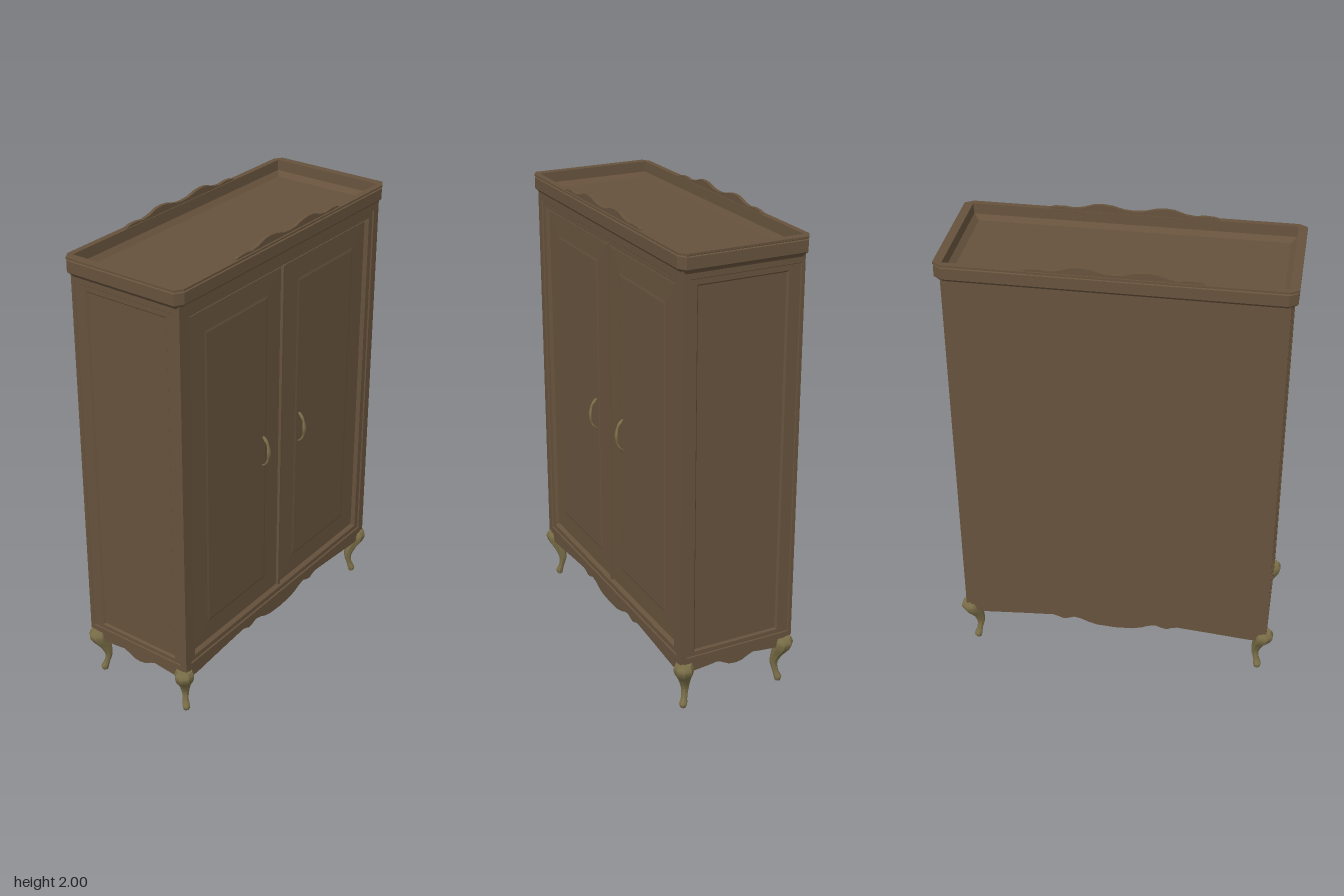
import * as THREE from 'three';

const wood = new THREE.MeshStandardMaterial({ color: 0x66523c, flatShading: true });
const brass = new THREE.MeshStandardMaterial({ color: 0x7a6e48, flatShading: true });

// Joins cross-sections (rings of [x, y, z], counter-clockwise about +z) and caps both ends
function loft(rings) {
  const pos = [];
  const tri = (a, b, c) => pos.push(...a, ...b, ...c);
  const n = rings[0].length;
  for (let i = 0; i < rings.length - 1; i++) {
    for (let j = 0; j < n; j++) {
      const k = (j + 1) % n;
      const a = rings[i][j], b = rings[i][k], c = rings[i + 1][k], d = rings[i + 1][j];
      tri(a, b, c);
      tri(a, c, d);
    }
  }
  const first = rings[0], last = rings[rings.length - 1];
  for (let j = 1; j < n - 1; j++) {
    tri(first[0], first[j + 1], first[j]);
    tri(last[0], last[j], last[j + 1]);
  }
  const g = new THREE.BufferGeometry();
  g.setAttribute('position', new THREE.Float32BufferAttribute(pos, 3));
  g.computeVertexNormals();
  return g;
}

// Rectangle with chamfered corners
const rect = (x0, x1, y0, y1, z, cx = 0, cy = 0) => [
  [x1, y0 + cy, z], [x1, y1 - cy, z], [x1 - cx, y1, z], [x0 + cx, y1, z],
  [x0, y1 - cy, z], [x0, y0 + cy, z], [x0 + cx, y0, z], [x1 - cx, y0, z],
];

const oval = (x, y, z, rx, ry, sides = 8) => Array.from({ length: sides }, (_, i) => {
  const a = ((i + 0.5) / sides) * Math.PI * 2;
  return [x + rx * Math.cos(a), y + ry * Math.sin(a), z];
});

// Board whose wavy edge is given for one half and mirrored to the other
function wavyBoard(half, flatY, thickness) {
  const pts = [...half.map(([x, y]) => [-x, y]).reverse(), ...half.slice(1)];
  const end = half[half.length - 1][0];
  const shape = new THREE.Shape([[-end, flatY], ...pts, [end, flatY]].map(p => new THREE.Vector2(...p)));
  return new THREE.ExtrudeGeometry(shape, { depth: thickness, bevelEnabled: false });
}

// Resamples a few key sections into a smooth run
function smooth(keys, count) {
  const at = (i, c) => keys[Math.min(Math.max(i, 0), keys.length - 1)][c];
  return Array.from({ length: count + 1 }, (_, s) => {
    const u = (s / count) * (keys.length - 1);
    const i = Math.min(Math.floor(u), keys.length - 2), t = u - i;
    return keys[0].map((_, c) => {
      const p0 = at(i - 1, c), p1 = at(i, c), p2 = at(i + 1, c), p3 = at(i + 2, c);
      return 0.5 * (2 * p1 + (p2 - p0) * t + (2 * p0 - 5 * p1 + 4 * p2 - p3) * t * t
        + (3 * p1 - p0 - 3 * p2 + p3) * t * t * t);
    });
  });
}

export function createModel() {
  const group = new THREE.Group();
  const add = (name, geometry, material = wood) => {
    const m = new THREE.Mesh(geometry, material);
    m.name = name;
    group.add(m);
    return m;
  };

  // Carcass behind the face panels
  add('carcass', new THREE.BoxGeometry(1.32, 1.665, 0.495)).position.set(0, 1.0625, -0.0175);

  // Front frame stepping in to the door recess
  add('frontFrame', loft([
    [0.68, 0.23, 1.9, 0.23], [0.68, 0.23, 1.9, 0.26], [0.645, 0.255, 1.86, 0.26],
    [0.641, 0.259, 1.856, 0.255], [0.615, 0.28, 1.835, 0.255], [0.603, 0.293, 1.823, 0.238],
  ].map(([x, y0, y1, z]) => rect(-x, x, y0, y1, z))));

  for (const s of [-1, 1]) {
    const side = s < 0 ? 'right' : 'left';

    // Door with a shallow raised field
    add(side + 'Door', loft([[0, 0.234], [0, 0.242], [0.09, 0.243], [0.1, 0.245]].map(([d, z]) => {
      const a = 0.014 + d, b = 0.601 - d;
      return rect(s > 0 ? a : -b, s > 0 ? b : -a, 0.295 + d, 1.821 - d, z);
    })));

    // Bowed door handle
    const handleKeys = [
      [0.97, 0.249, 0.006], [0.98, 0.262, 0.009], [1.0, 0.272, 0.006], [1.035, 0.278, 0.012],
      [1.07, 0.272, 0.006], [1.09, 0.262, 0.009], [1.105, 0.249, 0.006],
    ];
    add(side + 'Handle', loft(smooth(handleKeys, 18).map(([y, z, r]) => oval(s * 0.13, -z, y, r, 0.005)))
      .rotateX(-Math.PI / 2), brass);

    // Framed side panel
    const panel = loft([
      [0.265, 0.26, 0.23, 1.9, 0.66], [0.265, 0.26, 0.23, 1.9, 0.68], [0.25, 0.245, 0.252, 1.862, 0.68],
      [0.247, 0.242, 0.255, 1.859, 0.676], [0.197, 0.197, 0.273, 1.837, 0.676],
      [0.19, 0.19, 0.28, 1.83, 0.668],
    ].map(([back, front, y0, y1, z]) => (s > 0
      ? rect(-front, back, y0, y1, z) : rect(-back, front, y0, y1, z))));
    add(side + 'SidePanel', panel.rotateY(s * Math.PI / 2));

    // Side apron
    const sideEdge = [[0, 0.166], [0.03, 0.17], [0.065, 0.188], [0.085, 0.196], [0.11, 0.192], [0.2, 0.183], [0.24, 0.183]];
    add(side + 'Apron', wavyBoard(sideEdge, 0.24, 0.02).rotateY(Math.PI / 2))
      .position.x = s > 0 ? 0.655 : -0.675;
  }

  // Strip where the doors meet
  add('doorStrip', new THREE.BoxGeometry(0.016, 1.535, 0.02)).position.set(0, 1.058, 0.241);

  // Long aprons and crests, front and back
  const apronEdge = [[0, 0.174], [0.08, 0.179], [0.12, 0.19], [0.15, 0.204], [0.185, 0.211],
    [0.21, 0.201], [0.235, 0.196], [0.255, 0.205], [0.28, 0.212], [0.4, 0.203], [0.6, 0.186], [0.66, 0.186]];
  const crestEdge = [[0, 1.98], [0.04, 1.983], [0.09, 1.996], [0.13, 2.0], [0.165, 1.997],
    [0.21, 1.982], [0.25, 1.976], [0.29, 1.981], [0.33, 1.979], [0.35, 1.973]];
  for (const [name, apronZ, crestZ] of [['front', 0.238, 0.257], ['back', -0.263, -0.277]]) {
    add(name + 'Apron', wavyBoard(apronEdge, 0.24, 0.02)).position.z = apronZ;
    add(name + 'Crest', wavyBoard(crestEdge, 1.955, 0.015)).position.z = crestZ;
  }

  // Moulded crown with chamfered corners and a sunken tray top
  const crown = [
    [0.68, 0.258, 1.885, 0.012, 0.008], [0.688, 0.265, 1.895, 0.02, 0.012], [0.705, 0.28, 1.908, 0.035, 0.022],
    [0.705, 0.28, 1.955, 0.035, 0.022], [0.699, 0.274, 1.958, 0.035, 0.022], [0.707, 0.281, 1.962, 0.035, 0.022],
    [0.707, 0.281, 1.97, 0.035, 0.022], [0.67, 0.256, 1.97, 0, 0], [0.668, 0.254, 1.925, 0, 0],
    [0.645, 0.235, 1.905, 0, 0],
  ];
  add('crown', loft(crown.map(([x, z, y, cx, cz]) => rect(-x, x, -z + 0.002, z + 0.002, y, cx, cz)))
    .rotateX(-Math.PI / 2));

  // Cabriole legs: [height, x, z, radius]
  const legKeys = [
    [0, 0.645, 0.228, 0.013], [0.018, 0.646, 0.228, 0.018], [0.045, 0.639, 0.22, 0.014],
    [0.085, 0.633, 0.214, 0.018], [0.13, 0.643, 0.221, 0.028], [0.17, 0.66, 0.233, 0.041],
    [0.2, 0.666, 0.237, 0.045], [0.222, 0.664, 0.236, 0.036],
  ];
  for (const sx of [-1, 1]) {
    for (const sz of [-1, 1]) {
      const name = (sz > 0 ? 'front' : 'back') + (sx > 0 ? 'Left' : 'Right') + 'Leg';
      add(name, loft(smooth(legKeys, 21).map(([y, x, z, r]) => oval(sx * x, -sz * z, y, r, r * 0.92)))
        .rotateX(-Math.PI / 2), brass);
    }
  }
  return group;
}
